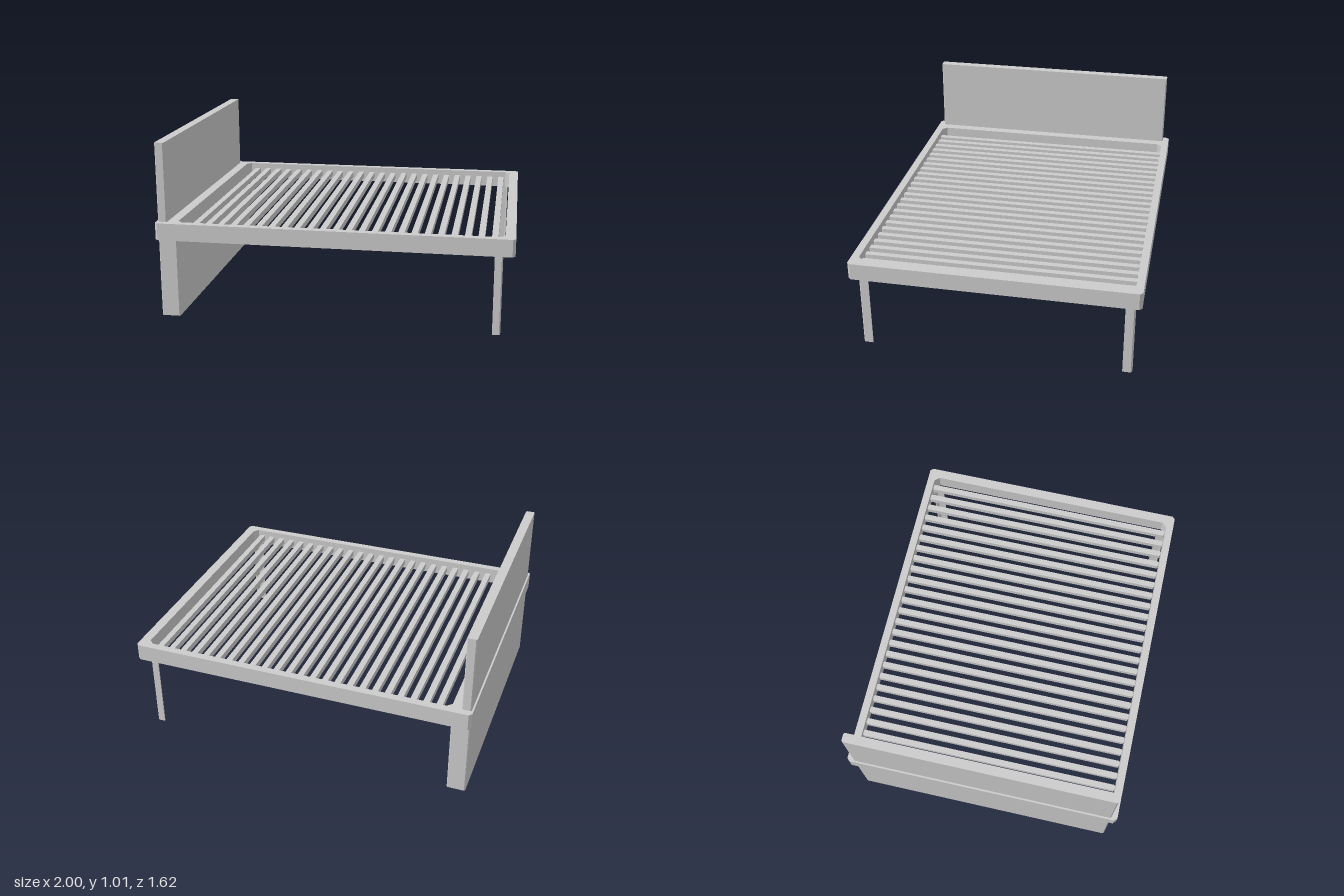
import * as THREE from 'three';

const material = new THREE.MeshStandardMaterial({ color: 0xcccccc });

// Counter-clockwise plan outline from [x, z] corners
const outline = (Type, corners) =>
  new Type(corners.map(([x, z]) => new THREE.Vector2(x, -z)));

// Rectangle in plan with its four corners cut off by c
function cutRect(Type, x0, x1, z0, z1, c) {
  return outline(Type, [
    [x0, z0 + c], [x0, z1 - c], [x0 + c, z1], [x1 - c, z1],
    [x1, z1 - c], [x1, z0 + c], [x1 - c, z0], [x0 + c, z0],
  ]);
}

// Raise a plan shape from y0 to y1
function raise(name, shape, y0, y1) {
  const geometry = new THREE.ExtrudeGeometry(shape, { depth: y1 - y0, bevelEnabled: false });
  geometry.rotateX(-Math.PI / 2).translate(0, y0, 0);
  const mesh = new THREE.Mesh(geometry, material);
  mesh.name = name;
  return mesh;
}

function block(name, x0, x1, z0, z1, y0, y1, c) {
  return raise(name, cutRect(THREE.Shape, x0, x1, z0, z1, c), y0, y1);
}

// Thin angle-section leg, its cut corner facing outwards; side is +1 or -1 in z
function angleLeg(name, side) {
  const x0 = 0.89, x1 = 0.935, z0 = 0.718, z1 = 0.772, t = 0.006, c = 0.007;
  const corners = [
    [x0, z1], [x1 - c, z1], [x1, z1 - c], [x1, z0],
    [x1 - t, z0], [x1 - t, z1 - c - t / 2], [x1 - c - t / 2, z1 - t], [x0, z1 - t],
  ].map(([x, z]) => [x, z * side]);
  return raise(name, outline(THREE.Shape, corners), 0, 0.46);
}

export function createModel() {
  const bed = new THREE.Group();
  bed.name = 'bed';

  // Frame with a cut-cornered opening, wider at the head end
  const plan = cutRect(THREE.Shape, -1, 1, -0.81, 0.81, 0.016);
  plan.holes.push(cutRect(THREE.Path, -0.88, 0.943, -0.766, 0.766, 0.027));
  bed.add(raise('frame', plan, 0.46, 0.558));

  // Headboard above, and the thicker support panel below
  bed.add(block('headboard', -0.99, -0.937, -0.77, 0.774, 0.558, 1.01, 0.006));
  bed.add(block('headSupport', -0.99, -0.883, -0.77, 0.774, 0, 0.46, 0.006));

  // Two slim legs at the foot end
  bed.add(angleLeg('leftLeg', 1), angleLeg('rightLeg', -1));

  // Slats recessed inside the frame
  const slats = new THREE.Group();
  slats.name = 'slats';
  const count = 24;
  for (let i = 0; i < count; i++) {
    const x = THREE.MathUtils.lerp(-0.805, 0.887, i / (count - 1));
    slats.add(block('slat', x - 0.0175, x + 0.0175, -0.766, 0.763, 0.49, 0.525, 0.005));
  }
  bed.add(slats);

  return bed;
}
